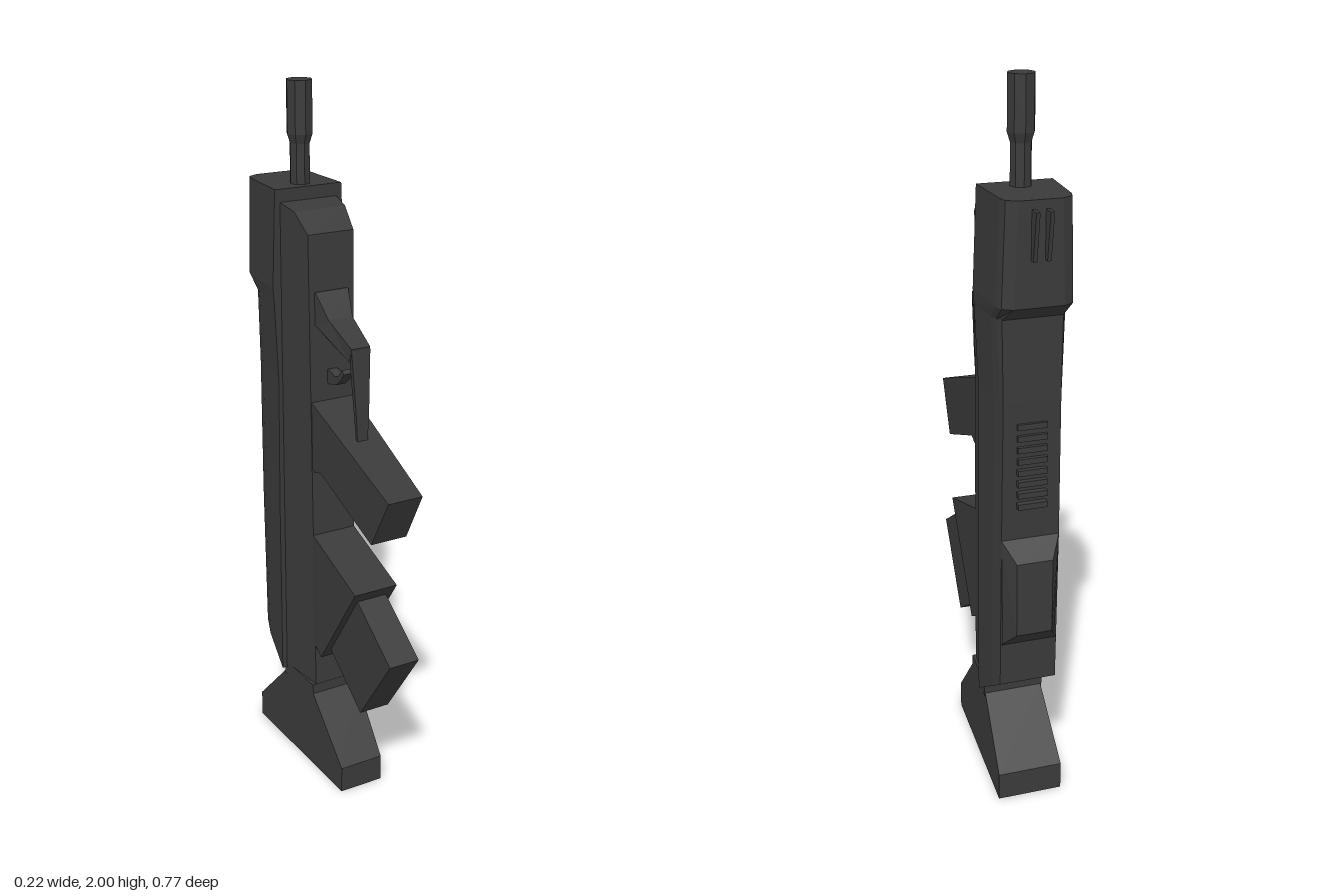
import * as THREE from 'three';

const material = new THREE.MeshStandardMaterial({ color: 0x3a3a3a, flatShading: true });

function part(name, geometry) {
  const mesh = new THREE.Mesh(geometry, material);
  mesh.name = name;
  return mesh;
}

// Side profile of [z, y] points, given a half width that may vary with z and y
function slab(name, points, halfWidth) {
  const shape = new THREE.Shape(points.map(([z, y]) => new THREE.Vector2(z, y)));
  const geo = new THREE.ExtrudeGeometry(shape, { depth: 2, bevelEnabled: false });
  const p = geo.attributes.position;
  for (let i = 0; i < p.count; i++) {
    const z = p.getX(i), y = p.getY(i), side = 1 - p.getZ(i);
    const w = typeof halfWidth === 'function' ? halfWidth(z, y) : halfWidth;
    p.setXYZ(i, side * w, y, z);
  }
  geo.computeVertexNormals();
  return part(name, geo);
}

// Closed skin over equal rings of [x, y, z], listed from bottom to top
function loft(name, rings) {
  const n = rings[0].length, index = [];
  for (let r = 0; r < rings.length - 1; r++) {
    for (let i = 0; i < n; i++) {
      const a = r * n + i, b = r * n + (i + 1) % n;
      index.push(a, b, b + n, a, b + n, a + n);
    }
  }
  const top = (rings.length - 1) * n;
  for (let i = 1; i < n - 1; i++) {
    index.push(0, i + 1, i, top, top + i, top + i + 1);
  }
  const geo = new THREE.BufferGeometry();
  geo.setAttribute('position', new THREE.Float32BufferAttribute(rings.flat(2), 3));
  geo.setIndex(index);
  const flat = geo.toNonIndexed();
  flat.computeVertexNormals();
  return part(name, flat);
}

const lerp = THREE.MathUtils.mapLinear;

export function createModel() {
  const model = new THREE.Group();
  model.name = 'rifle';

  // Rear shell: mirrored rings with chamfered back corners
  const shellRing = (y, back, w, inner, slope = 0) => {
    const half = [[w, -0.15], [w * 0.91, back + 0.04], [w * 0.84, back + 0.015], [w * inner, back]]
      .map(([x, z]) => [x, y + slope * (-0.15 - z), z]);
    return [...half, ...half.map(([x, yy, z]) => [-x, yy, z]).reverse()];
  };
  model.add(loft('upperShell', [
    shellRing(0.265, -0.29, 0.1, 0.8, 0.68),
    shellRing(0.8, -0.3, 0.1, 0.8),
    shellRing(1.2, -0.305, 0.097, 0.8),
    shellRing(1.42, -0.302, 0.107, 0.75),
    shellRing(1.46, -0.35, 0.11, 0.6),
    shellRing(1.728, -0.353, 0.1, 0.56),
  ]));

  // Front half of the body, narrowing forward
  model.add(slab('lowerBody', [
    [-0.16, 0.24], [0, 0.24], [-0.025, 1.63], [-0.085, 1.68], [-0.16, 1.695],
  ], z => lerp(z, -0.15, -0.02, 0.085, 0.067)));

  // Flared stock
  model.add(slab('stock', [
    [-0.32, 0], [0.16, 0], [0.16, 0.08], [0, 0.25], [0, 0.28],
    [-0.16, 0.28], [-0.16, 0.25], [-0.32, 0.08],
  ], z => lerp(z, -0.32, 0.16, 0.092, 0.066)));

  // Cheek rest on the back, narrowing outward
  model.add(slab('cheekRest', [
    [-0.28, 0.475], [-0.28, 0.83], [-0.3, 0.81], [-0.342, 0.755], [-0.342, 0.54], [-0.295, 0.49],
  ], z => (z < -0.33 ? 0.05 : 0.08)));

  // Ribbed panel
  for (let i = 0; i < 8; i++) {
    const rib = part('rib' + (i + 1), new THREE.BoxGeometry(0.08, 0.016, 0.03));
    rib.position.set(0, 0.91 + i * 0.0317, lerp(i, 0, 7, -0.304, -0.297));
    model.add(rib);
  }

  // Pair of sight fins
  for (const side of [-1, 1]) {
    const fin = slab('sightFin', [
      [-0.34, 1.58], [-0.367, 1.58], [-0.387, 1.705], [-0.34, 1.705],
    ], 0.005);
    fin.position.x = side * 0.018;
    model.add(fin);
  }

  // Barrel and muzzle
  const barrel = part('barrel', new THREE.LatheGeometry([
    [0, 1.7], [0.028, 1.7], [0.028, 1.835], [0.036, 1.86], [0.036, 2], [0, 2],
  ].map(([r, y]) => new THREE.Vector2(r, y)), 8));
  barrel.position.z = -0.198;
  model.add(barrel);

  // Trigger guard: bracket and thin bar down to the grip
  model.add(slab('guardBracket', [
    [-0.04, 1.385], [-0.02, 1.385], [0.02, 1.36], [0.13, 1.322], [0.138, 1.36],
    [0.03, 1.41], [-0.02, 1.475], [-0.04, 1.475],
  ], z => (z < 0.025 ? lerp(z, -0.02, 0.03, 0.05, 0.036) : lerp(z, 0.03, 0.138, 0.036, 0.028))));
  model.add(slab('guardBar', [
    [0.125, 1.34], [0.145, 1.09], [0.152, 1.09], [0.15, 1.19], [0.139, 1.355],
  ], (z, y) => lerp(y, 1.09, 1.355, 0.015, 0.028)));

  // Curved trigger
  model.add(slab('trigger', [
    [-0.04, 1.215], [-0.01, 1.215], [0.03, 1.225], [0.055, 1.245], [0.073, 1.268],
    [0.062, 1.277], [0.045, 1.257], [0.025, 1.247], [-0.01, 1.255], [-0.04, 1.255],
  ], 0.014));

  // Grip, narrowing toward its end
  model.add(slab('grip', [
    [-0.04, 0.975], [0, 0.966], [0.03, 0.975], [0.295, 0.87], [0.375, 1.02], [-0.01, 1.165], [-0.04, 1.175],
  ], z => lerp(z, 0, 0.375, 0.064, 0.051)));

  // Magazine and its well
  model.add(slab('magazineWell', [
    [-0.04, 0.435], [0.035, 0.392], [0.232, 0.69], [-0.01, 0.768], [-0.04, 0.778],
  ], 0.066));
  model.add(slab('magazine', [
    [0.03, 0.44], [0.23, 0.308], [0.387, 0.54], [0.19, 0.668],
  ], 0.045));

  return model;
}
